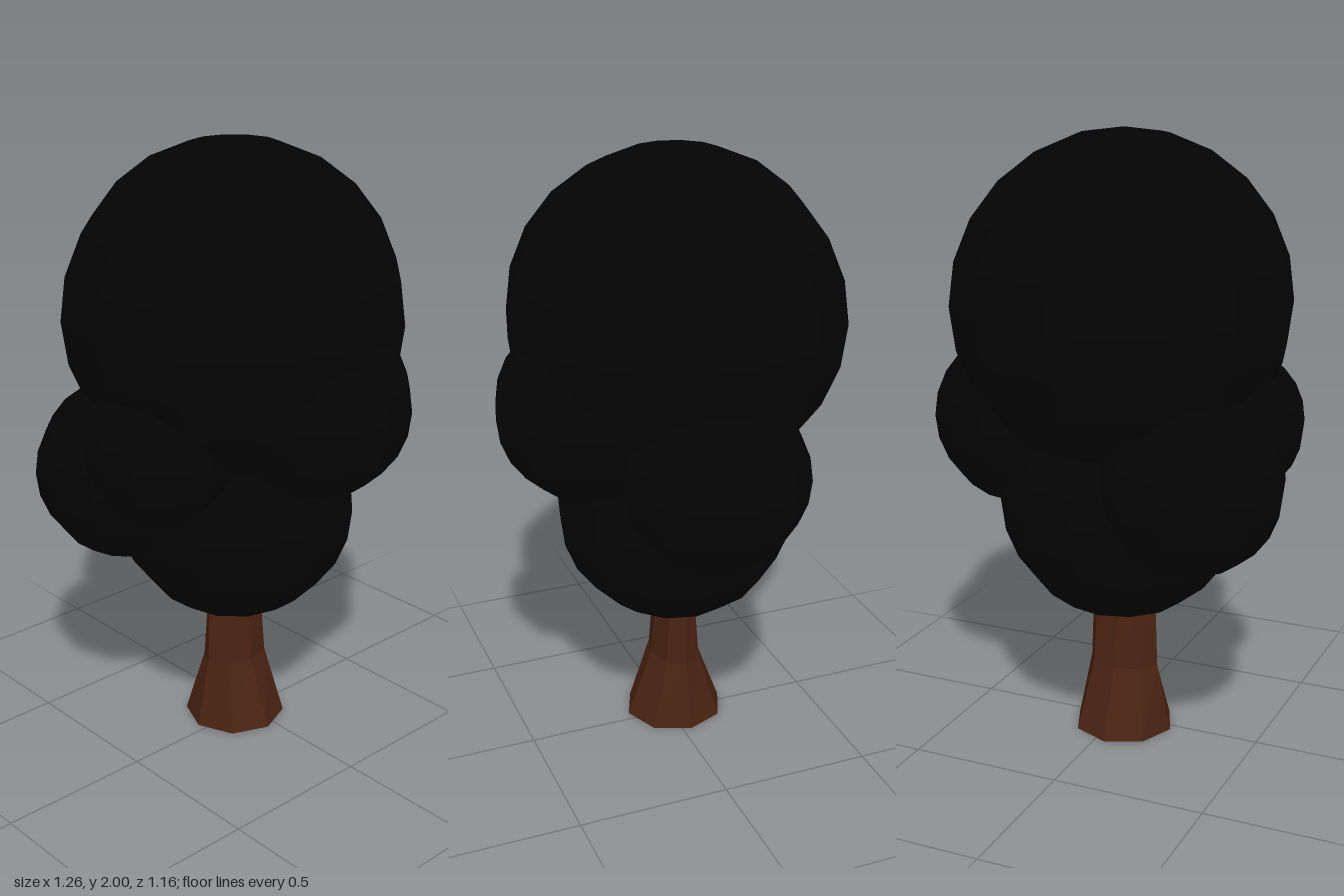
import * as THREE from 'three';

export function createModel() {
  const tree = new THREE.Group();
  tree.name = 'tree';
  const leafMat = new THREE.MeshStandardMaterial({ color: 0x030303, flatShading: true });
  const barkMat = new THREE.MeshStandardMaterial({ color: 0x4a2412, flatShading: true, side: THREE.DoubleSide });

  // Trunk: open eight-sided tube, flared to a round foot and flattened front to back above
  const rings = [ // height, half width, half depth
    [0, 0.168, 0.17],
    [0.23, 0.12, 0.085],
    [0.46, 0.112, 0.062],
  ];
  const trunkGeo = new THREE.CylinderGeometry(1, 1, 2, 8, 2, true);
  const pos = trunkGeo.attributes.position;
  for (let i = 0; i < pos.count; i++) {
    const [y, rx, rz] = rings[Math.round(pos.getY(i) + 1)];
    pos.setXYZ(i, pos.getX(i) * rx, y, pos.getZ(i) * rz);
  }
  trunkGeo.computeVertexNormals();
  const trunk = new THREE.Mesh(trunkGeo, barkMat);
  trunk.name = 'trunk';
  trunk.position.set(-0.035, 0, -0.03);
  tree.add(trunk);

  // Foliage: overlapping balls, each with name, x, y, z and radius
  const foliage = new THREE.Group();
  foliage.name = 'foliage';
  const balls = [
    ['crown', -0.03, 1.45, -0.03, 0.55],
    ['lowerFoliage', -0.03, 0.81, -0.03, 0.4],
    ['leftFoliage', 0.33, 1.05, -0.02, 0.3],
    ['frontFoliage', 0.03, 1.21, 0.285, 0.3],
    ['backRightFoliage', -0.338, 0.95, -0.21, 0.295],
    ['rightFoliage', -0.38, 1.09, 0.015, 0.24],
  ];
  for (const [name, x, y, z, r] of balls) {
    const ball = new THREE.Mesh(new THREE.SphereGeometry(r, 12, 12), leafMat);
    ball.name = name;
    ball.position.set(x, y, z);
    foliage.add(ball);
  }
  tree.add(foliage);
  return tree;
}
